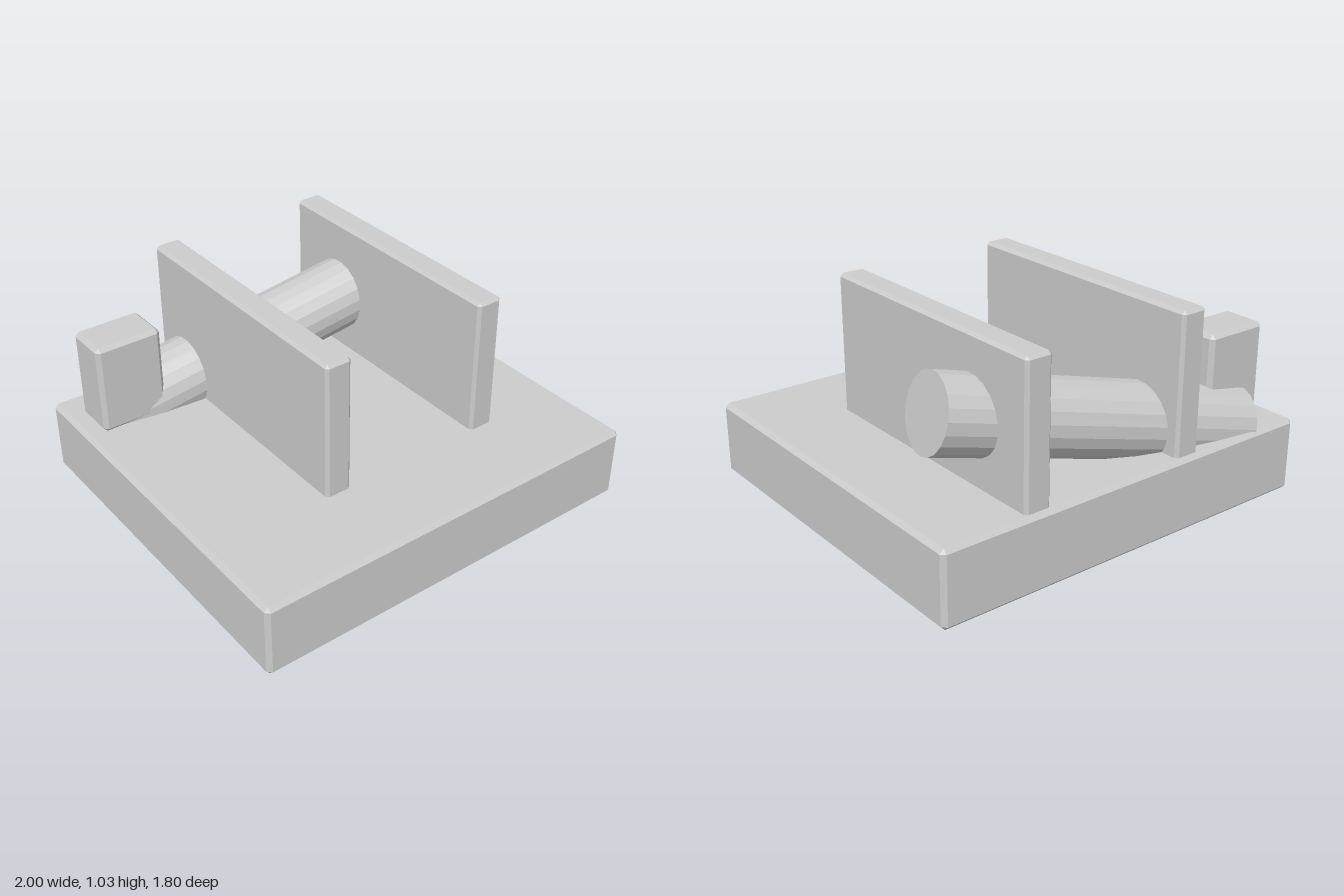
import * as THREE from 'three';
import { ConvexGeometry } from 'three/addons/geometries/ConvexGeometry.js';

const material = new THREE.MeshStandardMaterial({ color: 0xcccccc, flatShading: true });

// Box with flat chamfers on every edge, given by its min and max corners
function chamferBox(name, min, max, chamfer = 0.02) {
  const lo = new THREE.Vector3(...min);
  const hi = new THREE.Vector3(...max);
  const half = hi.clone().sub(lo).multiplyScalar(0.5);
  const points = [];
  for (const sx of [-1, 1]) for (const sy of [-1, 1]) for (const sz of [-1, 1]) {
    for (const axis of ['x', 'y', 'z']) {
      // each corner becomes three points, one on each adjoining face
      const p = half.clone().subScalar(chamfer);
      p[axis] = half[axis];
      points.push(p.multiply(new THREE.Vector3(sx, sy, sz)));
    }
  }
  const mesh = new THREE.Mesh(new ConvexGeometry(points), material);
  mesh.position.copy(lo).add(hi).multiplyScalar(0.5);
  mesh.name = name;
  return mesh;
}

// Solid cylinder between two end points
function rod(name, start, end, radius, sides) {
  const axis = end.clone().sub(start);
  const mesh = new THREE.Mesh(new THREE.CylinderGeometry(radius, radius, axis.length(), sides), material);
  mesh.position.copy(start).add(end).multiplyScalar(0.5);
  mesh.quaternion.setFromUnitVectors(new THREE.Vector3(0, 1, 0), axis.normalize());
  mesh.name = name;
  return mesh;
}

export function createModel() {
  const model = new THREE.Group();
  model.name = 'cylinderOnStand';

  // Base slab
  model.add(chamferBox('base', [-1, 0, -0.9], [1, 0.36, 0.9]));

  // Two upright plates, let into the base
  for (const [name, x] of [['rightPlate', -0.325], ['leftPlate', 0.512]]) {
    model.add(chamferBox(name, [x - 0.066, 0.3, -0.875], [x + 0.066, 1.03, 0.48], 0.015));
  }

  // Small block beside the low end of the cylinder
  model.add(chamferBox('block', [-0.92, 0.36, -0.74], [-0.59, 0.81, -0.52]));

  // Slanted cylinder through both plates, its low end sunk in the base
  model.add(rod('slantedCylinder', new THREE.Vector3(-0.78, 0.338, -0.711),
    new THREE.Vector3(0.777, 0.725, -0.49), 0.178, 20));

  return model;
}
